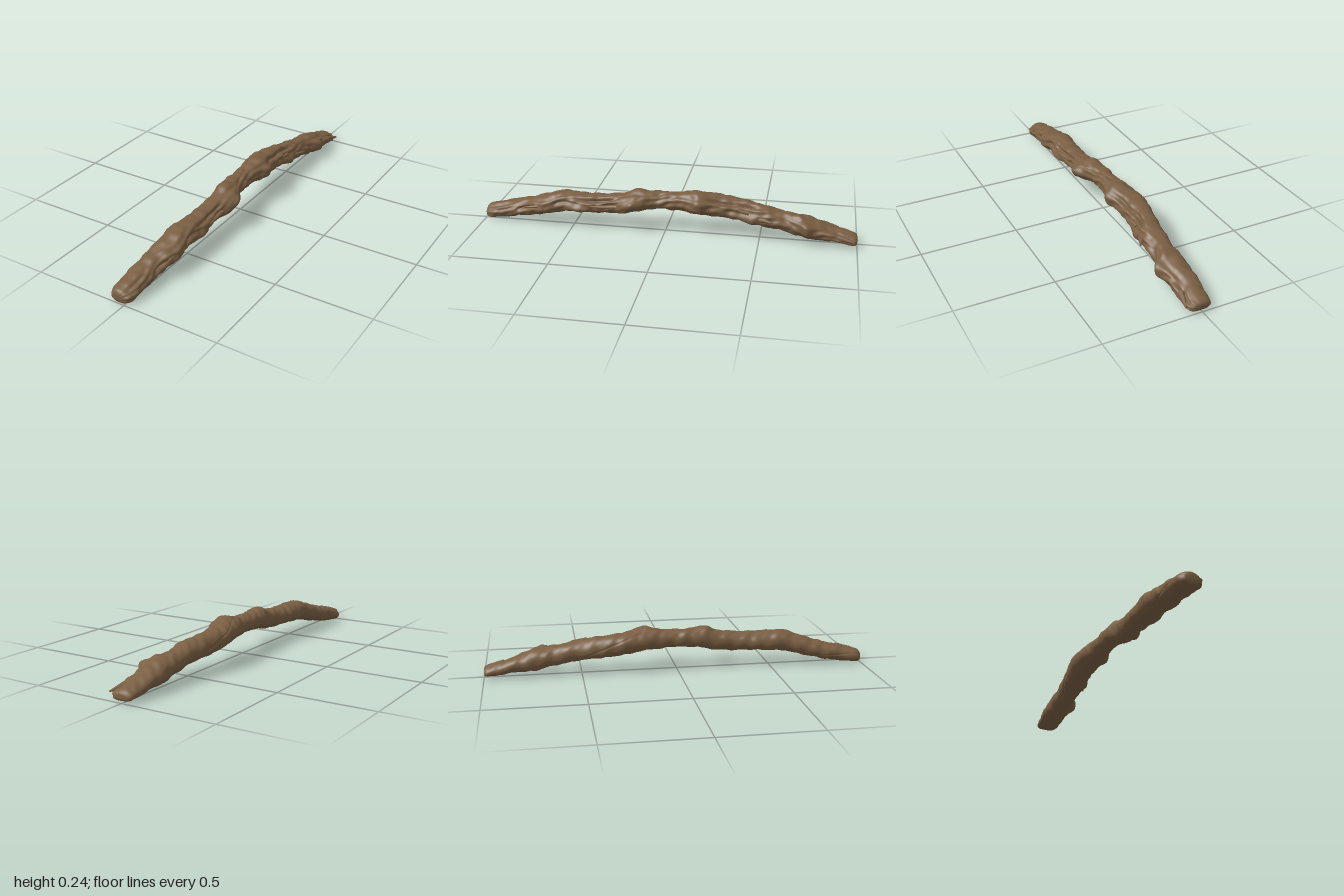
import * as THREE from 'three';

// cross-sections along the branch: z, left x, right x, bottom y, top y
const SECTIONS = [
  [1.0, -0.082, 0.022, 0.004, 0.068],
  [0.95, -0.088, 0.033, 0.006, 0.085],
  [0.85, -0.086, 0.040, 0.020, 0.108],
  [0.76, -0.084, 0.044, 0.036, 0.128],
  [0.67, -0.076, 0.070, 0.056, 0.158],
  [0.56, -0.068, 0.068, 0.080, 0.190],
  [0.45, -0.065, 0.070, 0.086, 0.185],
  [0.32, -0.056, 0.058, 0.090, 0.190],
  [0.22, -0.054, 0.064, 0.098, 0.202],
  [0.14, -0.062, 0.062, 0.112, 0.220],
  [0.05, -0.066, 0.042, 0.126, 0.218],
  [-0.06, -0.066, 0.042, 0.126, 0.220],
  [-0.17, -0.083, 0.060, 0.116, 0.230],
  [-0.28, -0.100, 0.052, 0.104, 0.216],
  [-0.40, -0.086, 0.045, 0.090, 0.200],
  [-0.52, -0.068, 0.058, 0.075, 0.182],
  [-0.64, -0.060, 0.060, 0.054, 0.155],
  [-0.75, -0.064, 0.074, 0.030, 0.140],
  [-0.86, -0.062, 0.074, 0.026, 0.105],
  [-0.95, -0.057, 0.072, 0.016, 0.075],
  [-1.0, -0.050, 0.060, 0.008, 0.062],
];

// knots (positive) and gouges (negative): z, angle, length, angular width, height
const FEATURES = [
  [0.17, 0.1, 0.055, 0.55, 0.032],
  [0.22, -0.5, 0.035, 0.40, 0.014],
  [0.15, 1.7, 0.040, 0.60, 0.010],
  [-0.18, 0.1, 0.035, 0.60, 0.020],
  [-0.17, 1.3, 0.035, 0.55, 0.013],
  [-0.74, 0.2, 0.030, 0.55, 0.034],
  [-0.70, 1.2, 0.030, 0.45, 0.012],
  [-0.45, -0.4, 0.050, 0.40, 0.016],
  [0.46, -0.3, 0.060, 0.35, 0.010],
  [-0.30, 0.75, 0.070, 0.22, -0.026],
  [-0.42, 0.95, 0.060, 0.20, -0.024],
  [-0.37, 0.10, 0.090, 0.22, -0.014],
  [0.36, 0.65, 0.090, 0.22, -0.020],
  [0.52, 0.25, 0.060, 0.20, -0.016],
  [0.30, 0.10, 0.040, 0.25, -0.014],
  [0.78, 0.30, 0.060, 0.25, -0.014],
  [0.92, 0.90, 0.070, 0.25, -0.010],
  [-0.85, 1.00, 0.080, 0.40, -0.014],
  [-0.92, 0.60, 0.050, 0.40, -0.012],
  [-0.62, 0.60, 0.040, 0.30, -0.012],
];

const wrap = (a) => Math.atan2(Math.sin(a), Math.cos(a));

// smooth interpolation of the section table
function sectionAt(z) {
  let i = 0;
  while (i < SECTIONS.length - 2 && z < SECTIONS[i + 1][0]) i++;
  const row = (k) => SECTIONS[Math.min(Math.max(k, 0), SECTIONS.length - 1)];
  const t = (SECTIONS[i][0] - z) / (SECTIONS[i][0] - SECTIONS[i + 1][0]);
  return [1, 2, 3, 4].map((c) => {
    const [p, a, b, n] = [row(i - 1)[c], row(i)[c], row(i + 1)[c], row(i + 2)[c]];
    return a + 0.5 * t * (b - p + t * (2 * p - 5 * a + 4 * b - n + t * (3 * (a - b) + n - p)));
  });
}

// bark relief: knots, gouges, spiral wrinkles and one sharp crease
function relief(z, a) {
  let h = 0;
  for (const [fz, fa, len, wide, height] of FEATURES) {
    const u = (z - fz) / len;
    const v = wrap(a - fa) / wide;
    h += height * Math.exp(-u * u - v * v);
  }
  h += 0.0016 * Math.sin(z * 62 + 2 * a + Math.sin(z * 17));
  h += 0.0016 * Math.sin(z * 31 - 3 * a + 2 * Math.sin(z * 9));
  h += 0.0010 * Math.sin(z * 115 + a + 1.5 * Math.sin(3 * a));
  // ragged lengthwise fibres on the broken +x side
  const side = Math.exp(-Math.pow(wrap(a - 0.3) / 0.9, 2));
  h += 0.003 * side * Math.sin(9 * a + 14 * z + 2 * Math.sin(z * 23));
  // spiral bark seams
  const seam = Math.abs(wrap(a - 1.2 + z * 5)) / 0.07;
  h -= 0.003 * Math.exp(-seam * seam);
  return h;
}

function surfacePoint(z, a, scale) {
  const [l, r, b, t] = sectionAt(z);
  const c = Math.cos(a), s = Math.sin(a);
  const power = (v) => Math.sign(v) * Math.pow(Math.abs(v), 0.92);
  const h = relief(z, a);
  return [
    (l + r) / 2 + scale * ((r - l) / 2 * power(c) + h * c),
    Math.max(0, (b + t) / 2 + scale * ((t - b) / 2 * power(s) + h * s)),
    z,
  ];
}

function branchGeometry() {
  const rings = 300, sides = 72;
  const list = [];
  // closed, softly rounded ends around the long run of rings
  const end = [[1, 0], [1, 0.4], [0.998, 0.72], [0.992, 0.9], [0.982, 0.98]];
  end.forEach((e) => list.push(e));
  for (let i = 0; i <= rings; i++) list.push([0.97 - 1.94 * i / rings, 1]);
  [...end].reverse().forEach(([z, s]) => list.push([-z, s]));

  const positions = [], indices = [];
  list.forEach(([z, scale], i) => {
    for (let j = 0; j < sides; j++) {
      positions.push(...surfacePoint(z, j / sides * Math.PI * 2, scale));
      if (i === list.length - 1) continue;
      const k = (j + 1) % sides;
      const a = i * sides + j, d = i * sides + k;
      indices.push(a, a + sides, d + sides, a, d + sides, d);
    }
  });
  const geo = new THREE.BufferGeometry();
  geo.setAttribute('position', new THREE.Float32BufferAttribute(positions, 3));
  geo.setIndex(indices);
  geo.computeVertexNormals();
  return geo;
}

export function createModel() {
  const group = new THREE.Group();
  group.name = 'branch';
  const bark = new THREE.MeshStandardMaterial({ color: 0x7a5f43 });
  bark.name = 'bark brown';

  const stem = new THREE.Mesh(branchGeometry(), bark);
  stem.name = 'stem';
  group.add(stem);

  // torn slivers of bark: base point, tip point, base radius
  const slivers = [
    [[0.045, 0.125, -0.50], [0.082, 0.125, -0.565], 0.016],
    [[0.035, 0.150, -0.44], [0.046, 0.165, -0.385], 0.014],
    [[0.055, 0.060, -0.90], [0.078, 0.045, -0.985], 0.018],
    [[0.050, 0.120, 0.62], [0.060, 0.105, 0.76], 0.016],
    [[0.050, 0.140, 0.22], [0.064, 0.135, 0.40], 0.016],
  ];
  for (const [from, to, radius] of slivers) {
    const a = new THREE.Vector3(...from), b = new THREE.Vector3(...to);
    const dir = b.clone().sub(a);
    const sliver = new THREE.Mesh(new THREE.CylinderGeometry(radius * 0.2, radius, dir.length(), 10), bark);
    sliver.position.copy(a).add(b).multiplyScalar(0.5);
    sliver.quaternion.setFromUnitVectors(new THREE.Vector3(0, 1, 0), dir.normalize());
    sliver.name = 'barkSliver';
    group.add(sliver);
  }
  return group;
}
